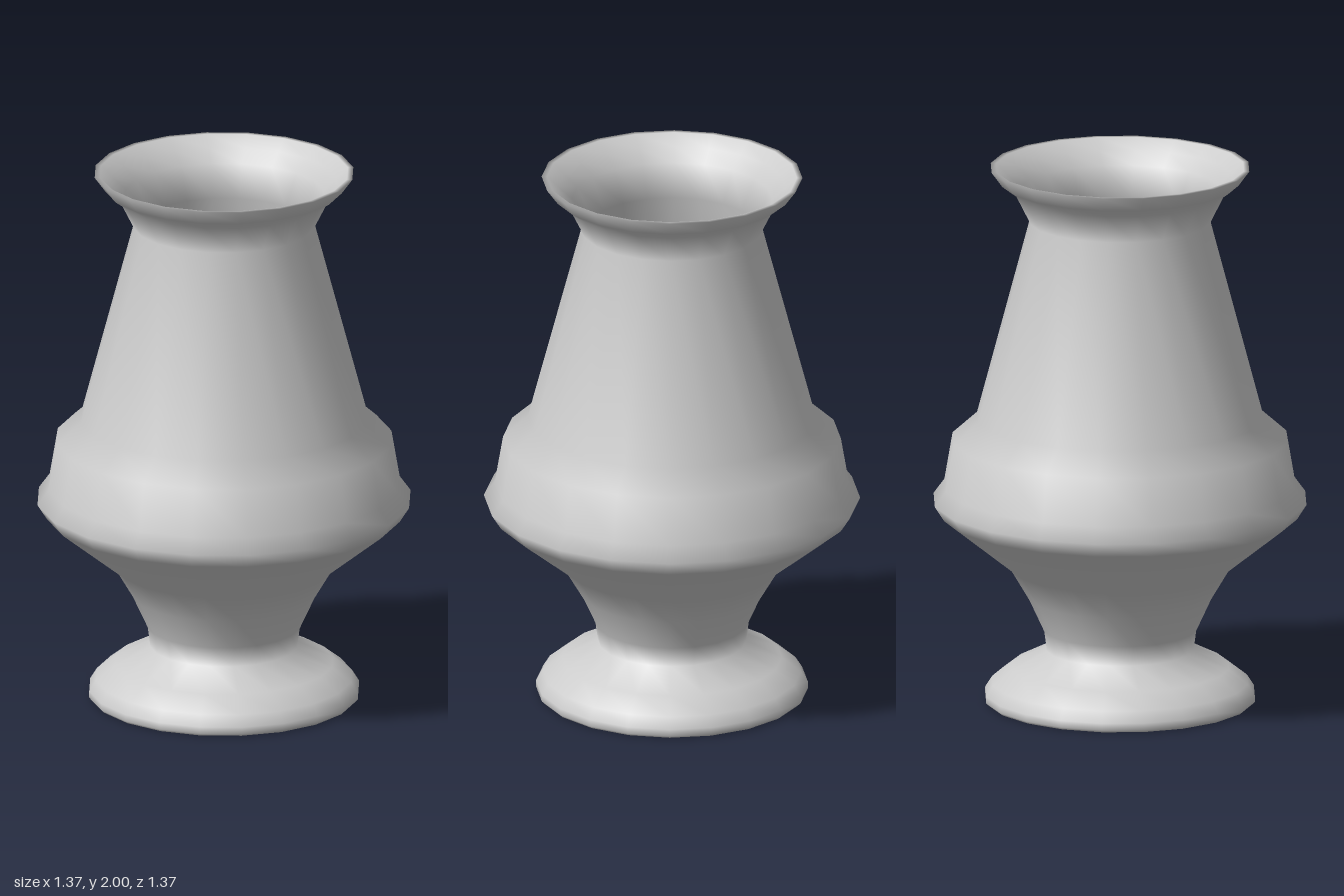
import * as THREE from 'three';

const SIDES = 20;

// Revolve [radius, height] pairs around the y axis.
function turned(name, profile) {
  const points = profile.map(([r, y]) => new THREE.Vector2(r, y));
  const mesh = new THREE.Mesh(
    new THREE.LatheGeometry(points, SIDES),
    new THREE.MeshStandardMaterial({ color: 0xcccccc, side: THREE.DoubleSide })
  );
  mesh.name = name;
  return mesh;
}

export function createModel() {
  const vase = new THREE.Group();
  vase.name = 'vase';

  // One closed wall: underside, outside upward, over the lip, inside downward.
  vase.add(turned('vaseBody', [
    // foot
    [0, 0], [0.485, 0], [0.495, 0.01], [0.495, 0.035], [0.47, 0.075], [0.40, 0.13], [0.27, 0.195],
    // stem
    [0.28, 0.27], [0.335, 0.39], [0.40, 0.50],
    // belly and shoulder band
    [0.65, 0.70], [0.685, 0.755], [0.645, 0.81], [0.615, 0.985], [0.525, 1.065],
    // tapering neck and flared lip
    [0.33, 1.80], [0.385, 1.91], [0.435, 1.945], [0.475, 2.0],
    // inside of the lip and neck
    [0.455, 2.0], [0.415, 1.96], [0.365, 1.915], [0.31, 1.80], [0.50, 1.06],
    // inside of the belly
    [0.59, 0.97], [0.62, 0.81], [0.655, 0.755], [0.62, 0.71],
    // inside of the stem down to the floor
    [0.38, 0.52], [0.31, 0.40], [0.255, 0.28], [0.18, 0.23], [0, 0.21],
  ]));

  return vase;
}
